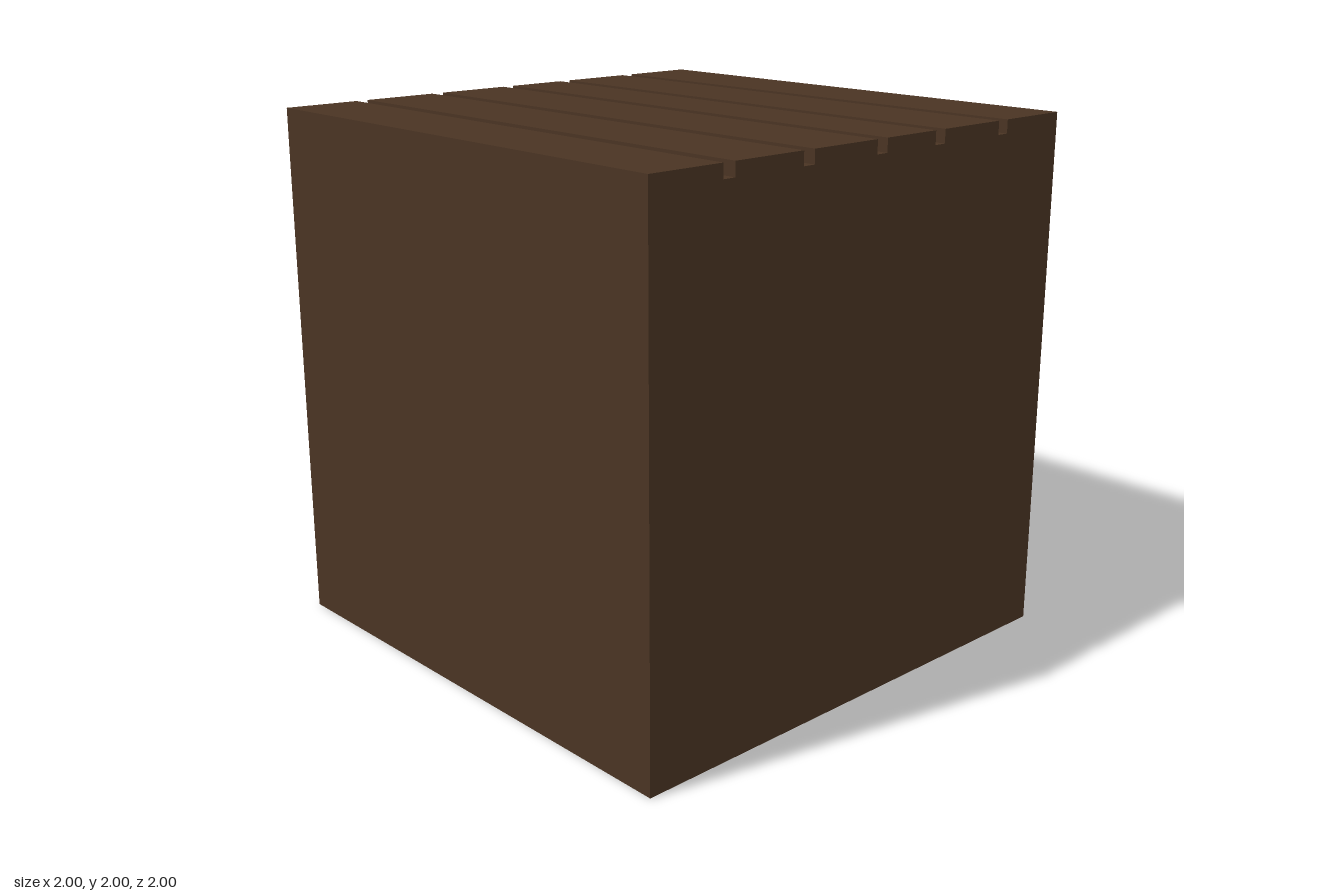
import * as THREE from 'three';

export function createModel() {
  const model = new THREE.Group();
  model.name = 'groovedBlock';
  const darkWood = new THREE.MeshStandardMaterial({ color: 0x4a3423 });
  darkWood.name = 'darkWood';

  // Side profile (z across, y up) with five square grooves cut into the top
  const size = 2, groove = 0.05;
  const grooveStarts = [0.65, 0.3, -0.05, -0.35, -0.7];
  const profile = new THREE.Shape();
  profile.moveTo(-size / 2, 0);
  profile.lineTo(size / 2, 0);
  profile.lineTo(size / 2, size);
  for (const z of grooveStarts) {
    profile.lineTo(z + groove, size);
    profile.lineTo(z + groove, size - groove);
    profile.lineTo(z, size - groove);
    profile.lineTo(z, size);
  }
  profile.lineTo(-size / 2, size);
  profile.closePath();

  // Run the profile along x
  const geometry = new THREE.ExtrudeGeometry(profile, { depth: size, bevelEnabled: false });
  geometry.translate(0, 0, -size / 2);
  geometry.rotateY(-Math.PI / 2);

  const block = new THREE.Mesh(geometry, darkWood);
  block.name = 'plankedBlock';
  model.add(block);
  return model;
}
